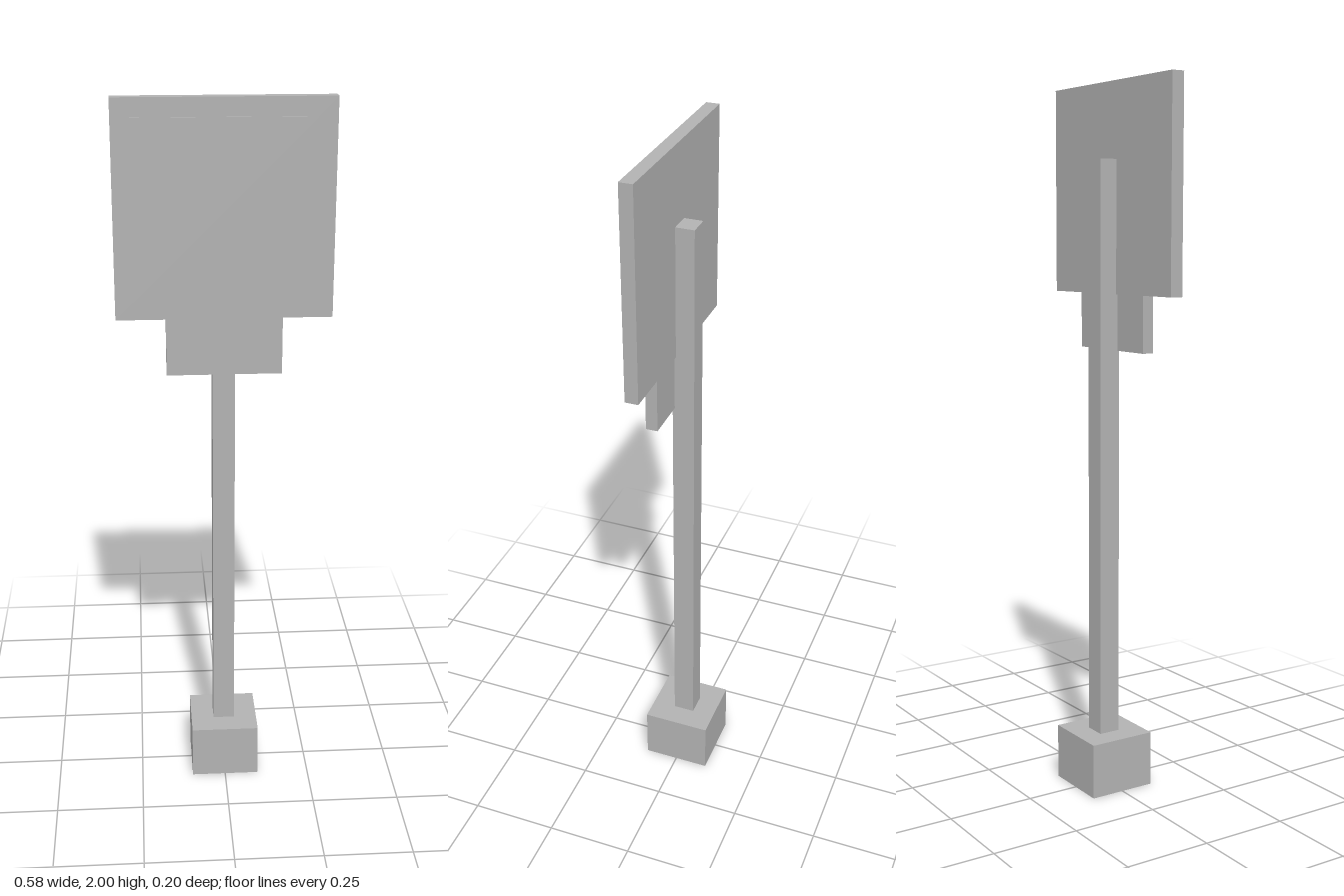
import * as THREE from 'three';

export function createModel() {
  const model = new THREE.Group();
  model.name = 'signPost';
  const grey = new THREE.MeshStandardMaterial({ color: 0xb2b2b2 });
  grey.name = 'plain grey';

  // Box given by its half width and its y and z ranges
  function block(name, halfWidth, [y0, y1], [z0, z1]) {
    const mesh = new THREE.Mesh(new THREE.BoxGeometry(halfWidth * 2, y1 - y0, z1 - z0), grey);
    mesh.name = name;
    mesh.position.set(0, (y0 + y1) / 2, (z0 + z1) / 2);
    model.add(mesh);
  }

  // Footing and post
  block('base', 0.098, [0, 0.157], [-0.098, 0.098]);
  block('post', 0.031, [0.157, 1.79], [-0.032, 0.03]);

  // Square sign with a thin raised face, and the small plate below it
  block('signBoard', 0.291, [1.422, 2], [0.02, 0.057]);
  block('signFace', 0.241, [1.472, 1.95], [0.057, 0.061]);
  block('lowerPlate', 0.157, [1.265, 1.422], [0.024, 0.057]);

  return model;
}
